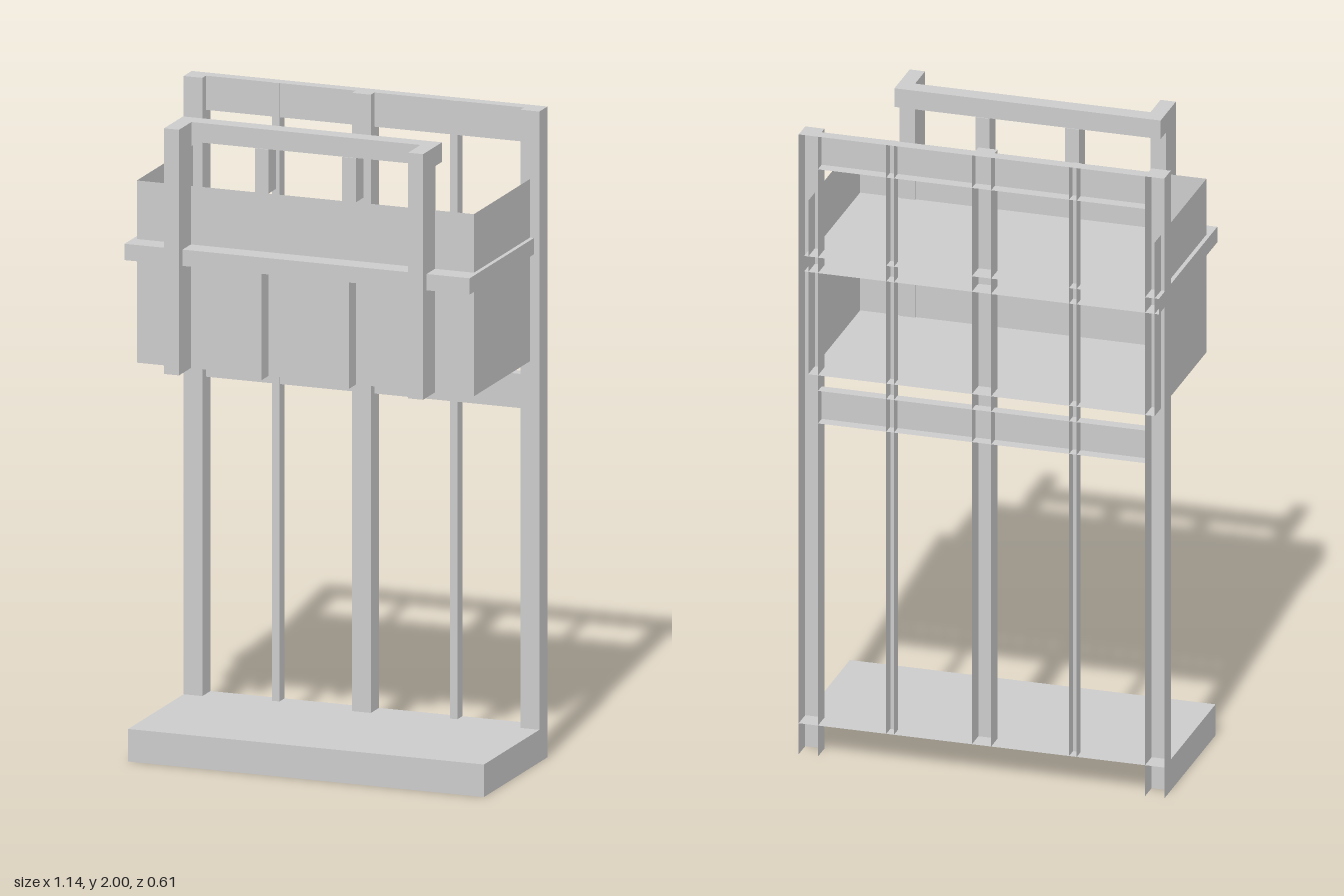
import * as THREE from 'three';

const FACES = ['left', 'right', 'top', 'bottom', 'front', 'back'];
const sheet = new THREE.MeshStandardMaterial({ color: 0xcccccc, side: THREE.DoubleSide });
const solid = new THREE.MeshStandardMaterial({ color: 0xcccccc });

// Box between two corners; any faces listed as open are left out
function box(parent, name, [x0, x1], [y0, y1], [z0, z1], open = []) {
  const geo = new THREE.BoxGeometry(x1 - x0, y1 - y0, z1 - z0);
  geo.translate((x0 + x1) / 2, (y0 + y1) / 2, (z0 + z1) / 2);
  if (open.length) {
    const all = Array.from(geo.index.array);
    geo.setIndex(all.filter((_, i) => !open.includes(FACES[Math.floor(i / 6)])));
    geo.clearGroups();
  }
  const mesh = new THREE.Mesh(geo, open.length ? sheet : solid);
  mesh.name = name;
  parent.add(mesh);
}

export function createModel() {
  const model = new THREE.Group();
  model.name = 'wallBalcony';
  const back = -0.305;
  const span = (centre, width) => [centre - width / 2, centre + width / 2];

  // Hollow base slab, open below and behind
  box(model, 'base', [-0.57, 0.57], [0, 0.1], [back, 0.205], ['bottom', 'back']);

  // Back frame: open-backed posts, mullions and cross rails
  const frame = new THREE.Group();
  frame.name = 'backFrame';
  model.add(frame);
  for (const s of [-1, 1]) {
    const side = s > 0 ? 'left' : 'right';
    box(frame, side + 'Post', span(s * 0.54, 0.06), [0, 2], [back, -0.24], ['back', 'bottom']);
    box(frame, side + 'Mullion', span(s * 0.285, 0.024), [0.1, 2], [back, -0.265], ['back', 'bottom']);
  }
  box(frame, 'centrePost', span(0, 0.06), [0.1, 2], [back, -0.24], ['back', 'bottom']);
  box(frame, 'topRail', [-0.51, 0.51], [1.895, 2], [back, -0.268], ['back', 'left', 'right']);
  box(frame, 'middleRail', [-0.51, 0.51], [1.075, 1.18], [back, -0.268], ['back', 'left', 'right']);

  // Balcony tray: thin walls and floor, open above and behind
  box(model, 'balconyWalls', [-0.54, 0.54], [1.23, 1.79], [back, 0.21], ['top', 'back']);
  // Deck, whose edge forms the ledge around the walls
  box(model, 'deckLedge', [-0.553, 0.553], [1.56, 1.61], [back, 0.277], ['back']);

  // Front railing with outer posts, top bar and short balusters
  const railing = new THREE.Group();
  railing.name = 'railing';
  model.add(railing);
  box(railing, 'handrail', [-0.415, 0.415], [1.925, 1.985], [0.153, 0.206]);
  for (const s of [-1, 1]) {
    const side = s > 0 ? 'left' : 'right';
    box(railing, side + 'RailingPost', span(s * 0.391, 0.048), [1.23, 1.985], [0.205, 0.305]);
    box(railing, side + 'Baluster', span(s * 0.14, 0.044), [1.79, 1.925], [0.15, 0.21]);
    box(railing, side + 'Bracket', span(s * 0.14, 0.044), [1.23, 1.56], [0.21, 0.265]);
  }
  return model;
}
